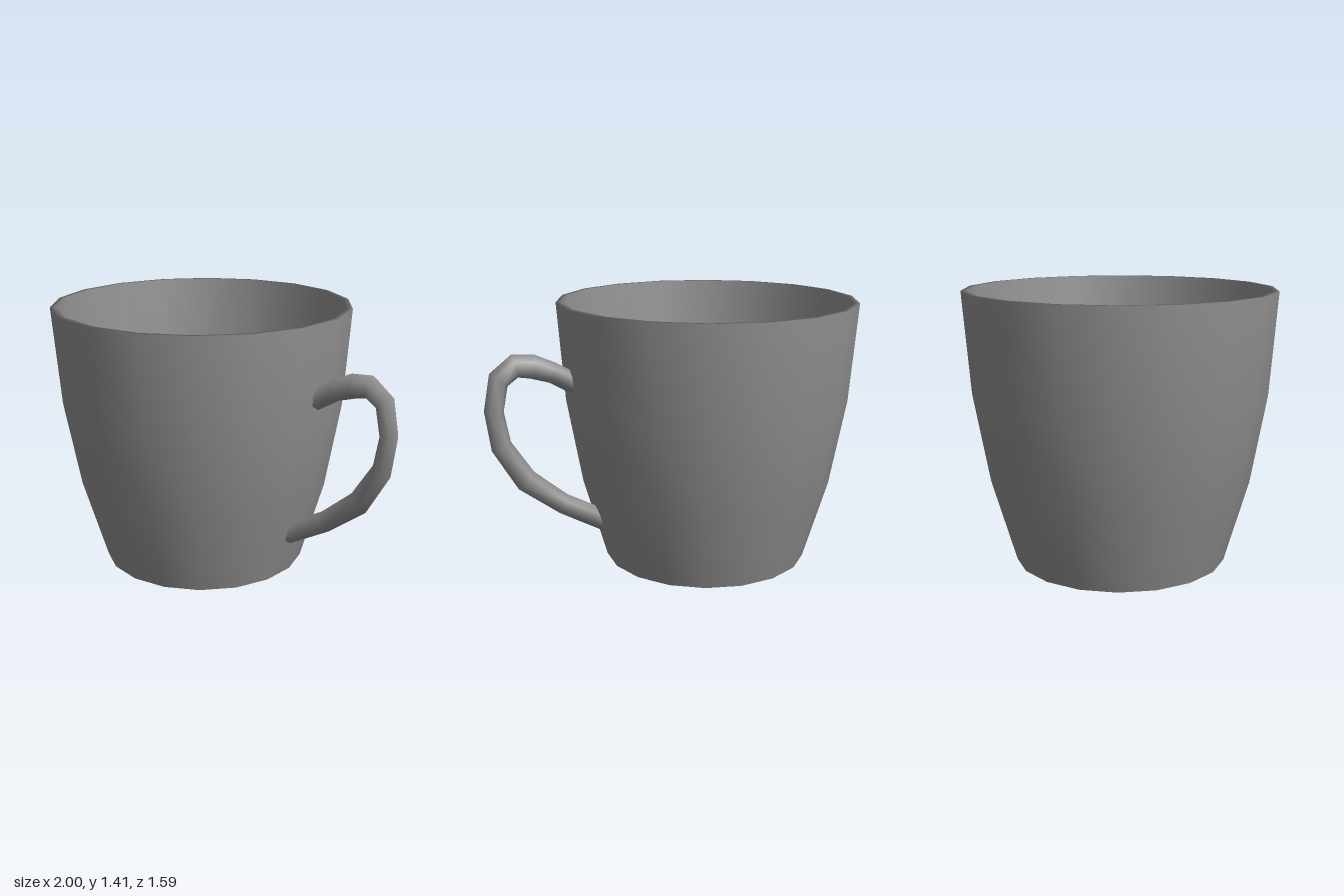
import * as THREE from 'three';

const SIDES = 18;
const CENTRE_X = -0.21;

function lathe(name, profile, material) {
  const points = profile.map(([r, y]) => new THREE.Vector2(r, y));
  const geometry = new THREE.LatheGeometry(points, SIDES, THREE.MathUtils.degToRad(17.2));
  const mesh = new THREE.Mesh(geometry, material);
  mesh.name = name;
  return mesh;
}

// Six-sided sweep; each section gives an outer point, an inner point and a half depth
function sweep(sections) {
  const N = 6, positions = [], index = [];
  sections.forEach(([ox, oy, ix, iy, depth], i) => {
    for (let j = 0; j < N; j++) {
      const a = (j / N) * Math.PI * 2, c = Math.cos(a) / 2;
      positions.push((ox + ix) / 2 + (ox - ix) * c, (oy + iy) / 2 + (oy - iy) * c, depth * Math.sin(a));
      if (i === 0) continue;
      const k = (j + 1) % N, p = (i - 1) * N, q = i * N;
      index.push(p + j, p + k, q + j, p + k, q + k, q + j);
    }
  });
  const geometry = new THREE.BufferGeometry();
  geometry.setAttribute('position', new THREE.Float32BufferAttribute(positions, 3));
  geometry.setIndex(index);
  geometry.computeVertexNormals();
  return geometry;
}

export function createModel() {
  const group = new THREE.Group();
  group.name = 'mug';
  const material = new THREE.MeshStandardMaterial({ color: 0x8f8f8f });

  // Thin-walled cup: sharp at the base, smooth over the rim and into the floor
  const cup = new THREE.Group();
  cup.name = 'cup';
  cup.position.x = CENTRE_X;
  cup.add(
    lathe('base', [[0, 0], [0.55, 0]], material),
    lathe('wall', [
      [0.55, 0], [0.675, 0.43], [0.757, 0.89], [0.797, 1.41],
      [0.767, 1.41], [0.727, 0.89], [0.646, 0.43], [0.535, 0.035], [0.515, 0.031], [0, 0.03]
    ], material)
  );
  group.add(cup);

  // Handle, slimmer in the middle, with its open ends tucked into the wall
  const handle = new THREE.Mesh(sweep([
    [0.535, 1.08, 0.525, 0.95, 0.06],
    [0.62, 1.13, 0.66, 1.03, 0.06],
    [0.73, 1.18, 0.76, 1.06, 0.059],
    [0.85, 1.19, 0.82, 1.07, 0.056],
    [0.965, 1.10, 0.875, 1.03, 0.053],
    [1.0, 0.91, 0.90, 0.90, 0.051],
    [0.97, 0.70, 0.87, 0.74, 0.053],
    [0.84, 0.48, 0.755, 0.565, 0.057],
    [0.625, 0.32, 0.58, 0.42, 0.061],
    [0.375, 0.18, 0.405, 0.325, 0.064]
  ]), material);
  handle.name = 'handle';
  group.add(handle);

  return group;
}
